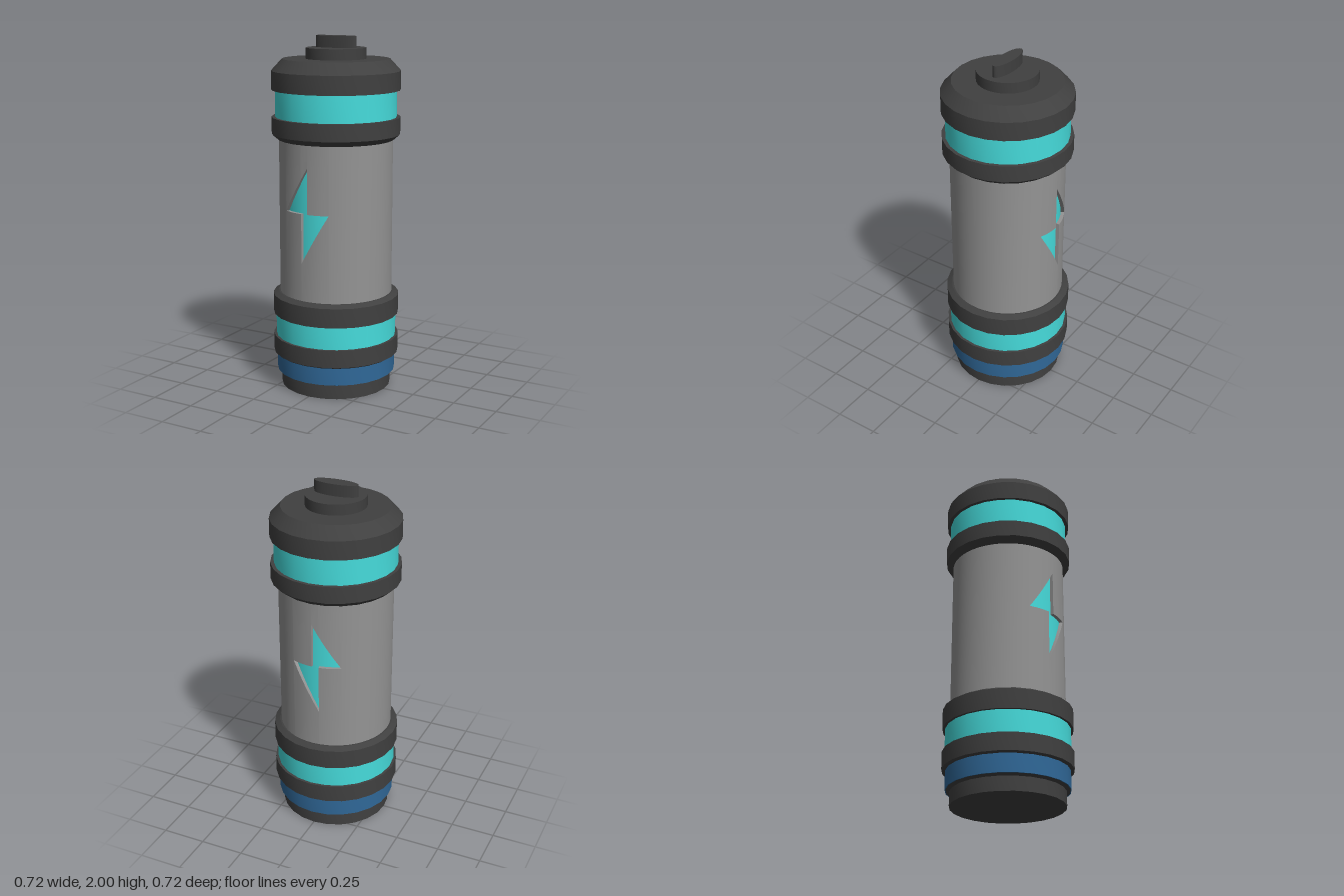
import * as THREE from 'three';
import { toCreasedNormals } from 'three/addons/utils/BufferGeometryUtils.js';

const mat = (name, color, side = THREE.FrontSide) => {
  const m = new THREE.MeshStandardMaterial({ color, side });
  m.name = name;
  return m;
};

export function createModel() {
  const group = new THREE.Group();
  const dark = mat('charcoal', 0x404040);
  const teal = mat('teal', 0x46dcdc);
  const blue = mat('blue', 0x306898);
  const grey = mat('grey', 0x949494, THREE.DoubleSide);

  const add = (name, geometry, material) => {
    const mesh = new THREE.Mesh(toCreasedNormals(geometry, 0.45), material);
    mesh.name = name;
    group.add(mesh);
    return mesh;
  };
  // Closed turned part; profile of [radius, y] from bottom to top
  const turned = (name, profile, material, sides = 24) => {
    const pts = [[0, profile[0][1]], ...profile, [0, profile[profile.length - 1][1]]];
    return add(name, new THREE.LatheGeometry(pts.map(p => new THREE.Vector2(...p)), sides), material);
  };

  // Lower end
  turned('foot', [[0.315, 0], [0.315, 0.08], [0.335, 0.09], [0.335, 0.1]], dark);
  turned('blueBand', [[0.34, 0.09], [0.34, 0.2]], blue);
  turned('lowerRing', [[0.35, 0.193], [0.36, 0.2], [0.36, 0.3]], dark);
  turned('lowerGlowBand', [[0.345, 0.29], [0.345, 0.44]], teal);
  turned('lowerCollar', [[0.36, 0.43], [0.36, 0.54], [0.33, 0.557]], dark);

  // Upper end
  turned('upperCollar', [[0.325, 1.43], [0.36, 1.46], [0.36, 1.555]], dark);
  turned('upperGlowBand', [[0.34, 1.55], [0.34, 1.71]], teal);
  turned('cap', [[0.36, 1.705], [0.36, 1.81], [0.3, 1.875]], dark);
  turned('knob', [[0.168, 1.87], [0.168, 1.935]], dark, 32);
  turned('knobGrip', [[0.127, 1.93], [0.127, 2]], dark, 48).scale.z = 0.33;

  // Glowing core, seen through the bolt cut-outs
  turned('glowCore', [[0.3, 0.6], [0.3, 1.4]], teal, 48);

  // Casing: columns around the axis, split where the bolt cuts through front and back
  const R = 0.32, inner = 0.298, y0 = 0.54, y1 = 1.44, mid = 1.05;
  const left = -0.16, notchLow = -0.04, notchHigh = 0, right = 0.12, tip = 1.305, foot = 0.77;
  const pos = [];
  const P = (t, r, y) => [r * Math.sin(t), y, r * Math.cos(t)];
  const quad = (a, b, c, d) => pos.push(...a, ...b, ...c, ...a, ...c, ...d);

  const angles = [];
  for (let i = 0; i < 48; i++) angles.push((i / 48) * Math.PI * 2 - Math.PI / 2);
  for (const x of [left, notchLow, notchHigh, right]) {
    const t = Math.asin(x / R);
    angles.push(t, Math.PI - t);
  }
  angles.sort((a, b) => a - b);
  angles.push(Math.PI * 1.5);

  for (let i = 0; i < angles.length - 1; i++) {
    const a = angles[i], b = angles[i + 1];
    if (b - a < 1e-5) continue;
    const xm = R * Math.sin((a + b) / 2);
    if (xm < left || xm > right) {
      quad(P(a, R, y0), P(b, R, y0), P(b, R, y1), P(a, R, y1));
      continue;
    }
    const low = t => xm < notchLow ? mid
      : foot + (R * Math.sin(t) - notchLow) * (mid - foot) / (right - notchLow);
    const high = t => xm > notchHigh ? mid
      : tip + R * Math.sin(t) * (tip - mid) / (notchHigh - left);
    const la = low(a), lb = low(b), ha = high(a), hb = high(b);
    quad(P(a, R, y0), P(b, R, y0), P(b, R, lb), P(a, R, la));
    quad(P(a, R, ha), P(b, R, hb), P(b, R, y1), P(a, R, y1));
    // Cut edges below and above the opening
    quad(P(a, R, la), P(b, R, lb), P(b, inner, lb), P(a, inner, la));
    quad(P(a, inner, ha), P(b, inner, hb), P(b, R, hb), P(a, R, ha));
  }
  // Upright cut edges of the bolt
  for (const back of [false, true]) {
    const edge = (x, from, to, flip) => {
      const s = Math.asin(x / R), t = back ? Math.PI - s : s;
      const c = [P(t, R, from), P(t, inner, from), P(t, inner, to), P(t, R, to)];
      if (flip !== back) c.reverse();
      quad(...c);
    };
    edge(notchLow, foot, mid, false);
    edge(notchHigh, mid, tip, true);
  }
  const casing = new THREE.BufferGeometry();
  casing.setAttribute('position', new THREE.Float32BufferAttribute(pos, 3));
  add('casing', casing, grey);

  return group;
}
